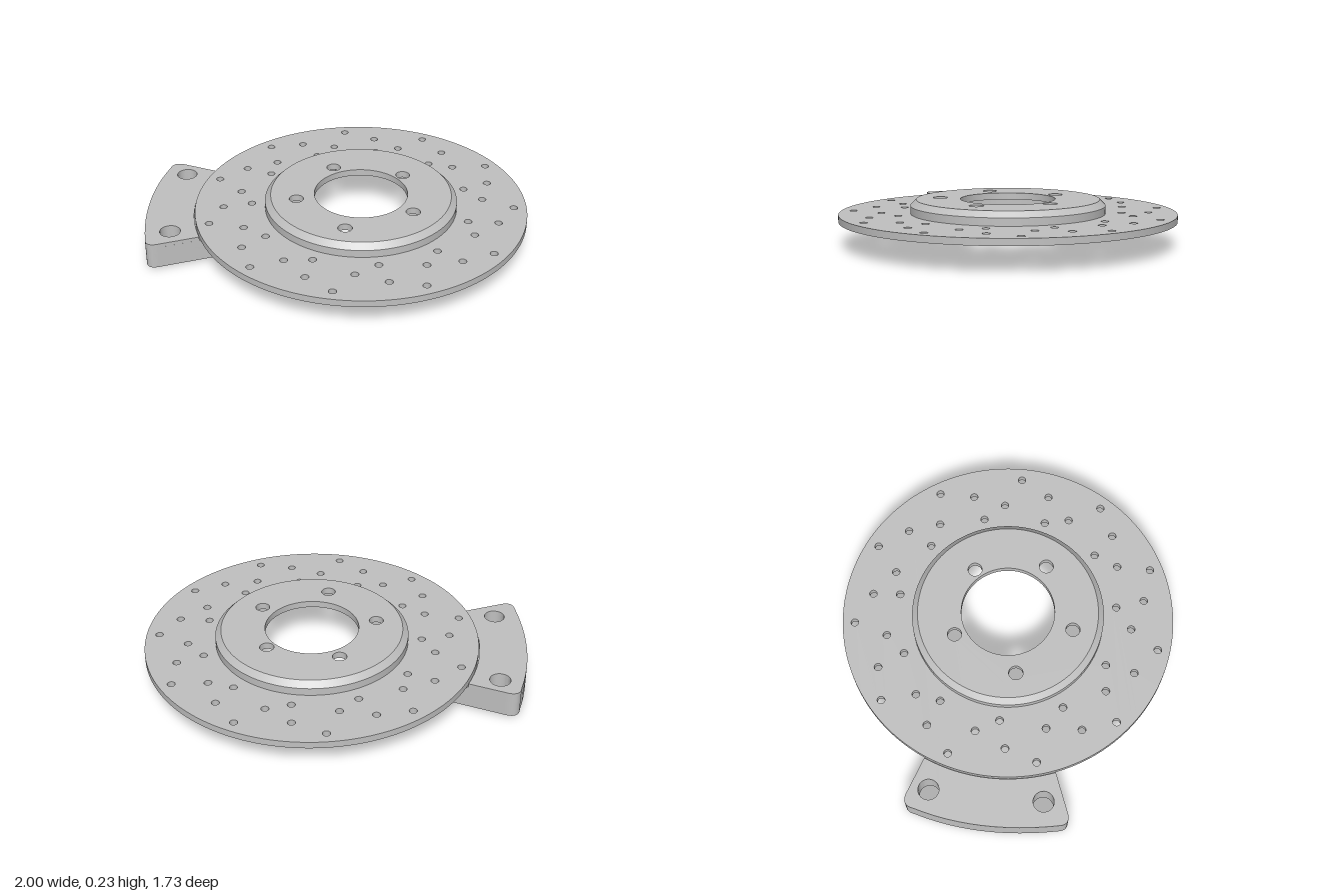
import * as THREE from 'three';
import { toCreasedNormals } from 'three/addons/utils/BufferGeometryUtils.js';

const DISC_X = 0.13;

// Closed round outline; wave > 0 gives it six lobes
function circle(x, z, r, n = 24, wave = 0) {
  const pts = [];
  for (let i = 0; i < n; i++) {
    const a = (i / n) * Math.PI * 2;
    const q = r + wave * Math.cos(6 * a);
    pts.push(new THREE.Vector2(x + q * Math.cos(a), z + q * Math.sin(a)));
  }
  return pts;
}

// Flat plate drawn in x/z, reaching from bottom to top in y
function plate(outline, holes, bottom, top) {
  const shape = new THREE.Shape(outline);
  holes.forEach((h) => shape.holes.push(new THREE.Path(h)));
  const geo = new THREE.ExtrudeGeometry(shape, { depth: top - bottom, bevelEnabled: false });
  geo.rotateX(Math.PI / 2).translate(0, top, 0);
  return toCreasedNormals(geo, 0.5);
}

// One band of a turned surface
function band(r0, y0, r1, y1) {
  return new THREE.LatheGeometry([new THREE.Vector2(r0, y0), new THREE.Vector2(r1, y1)], 128);
}

// Cooling holes, x and z from the disc centre
const VENTS = [
  [.06, -.8], [-.38, -.7], [-.2, -.7], [.21, -.69], [-.03, -.64], [.48, -.64], [-.14, -.56], [.19, -.55],
  [.32, -.56], [-.37, -.52], [-.54, -.48], [.55, -.47], [-.42, -.4], [-.7, -.39], [.45, -.36], [.57, -.3],
  [.75, -.28], [-.6, -.24], [-.71, -.1], [-.56, -.11], [.71, -.1], [.57, -.06], [-.8, .05], [.64, .06],
  [-.63, .12], [.78, .17], [-.53, .22], [.51, .26], [.66, .3], [-.66, .3], [.51, .39], [-.47, .45],
  [-.33, .47], [-.64, .48], [.29, .5], [.56, .57], [-.02, .57], [-.39, .61], [.21, .61], [.39, .61],
  [-.15, .63], [-.28, .75], [0, .72], [.17, .78],
];
const LUGS = [[-.34, 0], [-.094, -.289], [.254, -.144], [.227, .23], [-.142, .321]];

export function createModel() {
  const group = new THREE.Group();
  const metal = new THREE.MeshStandardMaterial({ color: 0xc0c0c0 });
  const add = (parent, name, geo) => {
    const mesh = new THREE.Mesh(geo, metal);
    mesh.name = name;
    parent.add(mesh);
  };

  // Drilled disc with a raised, hollow hat
  const disc = new THREE.Group();
  disc.name = 'brakeDisc';
  disc.position.x = DISC_X;
  group.add(disc);
  add(disc, 'frictionRing', plate(circle(0, 0, 0.865, 160),
    [circle(0, 0, 0.44, 128), ...VENTS.map(([x, z]) => circle(x, z, 0.02, 20))], 0.13, 0.165));
  add(disc, 'hatTop', plate(circle(0, 0, 0.47, 128),
    [circle(0, 0, 0.243, 96), ...LUGS.map(([x, z]) => circle(x, z, 0.037, 28))], 0.2, 0.235));
  add(disc, 'hatWall', band(0.5, 0.165, 0.5, 0.205));
  add(disc, 'hatChamfer', band(0.5, 0.205, 0.47, 0.235));
  add(disc, 'hatInnerWall', band(0.44, 0.2, 0.44, 0.165));

  // Caliper outline with rounded corners
  const caliper = new THREE.Group();
  caliper.name = 'caliper';
  group.add(caliper);
  const body = new THREE.Shape();
  body.moveTo(-0.73, -0.608);
  body.quadraticCurveTo(-0.8, -0.66, -0.826, -0.59);
  body.quadraticCurveTo(-0.993, -0.285, -1, 0.12);
  body.quadraticCurveTo(-1.003, 0.182, -0.94, 0.172);
  const outerEdge = body.getPoints(12);
  body.lineTo(-0.44, 0.097);
  body.quadraticCurveTo(-0.395, 0.09, -0.388, 0.05);
  body.lineTo(-0.325, -0.27);
  body.quadraticCurveTo(-0.315, -0.345, -0.37, -0.38);
  const outline = body.getPoints(12);

  // The top lip stops at an arc just outside the disc
  const lip = outerEdge.slice();
  const a0 = Math.PI - Math.asin(0.14 / 0.87);
  const a1 = Math.PI + Math.asin(0.51 / 0.87);
  for (let i = 0; i <= 24; i++) {
    const a = a0 + ((a1 - a0) * i) / 24;
    lip.push(new THREE.Vector2(DISC_X + 0.87 * Math.cos(a), 0.87 * Math.sin(a)));
  }

  const bolts = [circle(-0.74, -0.505, 0.053, 36), circle(-0.87, 0.06, 0.053, 36)];
  const px = -0.53, pz = -0.16;
  add(caliper, 'caliperBase', plate(outline, [...bolts, circle(px, pz, 0.065, 72, 0.01)], 0.01, 0.09));
  add(caliper, 'caliperFloor', plate(outline, bolts, 0.09, 0.126));
  add(caliper, 'caliperLip', plate(lip, bolts, 0.126, 0.146));

  // Raised rings around the piston socket underneath
  add(caliper, 'socketOuterRing', plate(circle(px, pz, 0.12, 64), [circle(px, pz, 0.1, 64)], 0, 0.01));
  add(caliper, 'socketInnerRing', plate(circle(px, pz, 0.093, 64), [circle(px, pz, 0.065, 72, 0.01)], 0.003, 0.01));

  return group;
}
